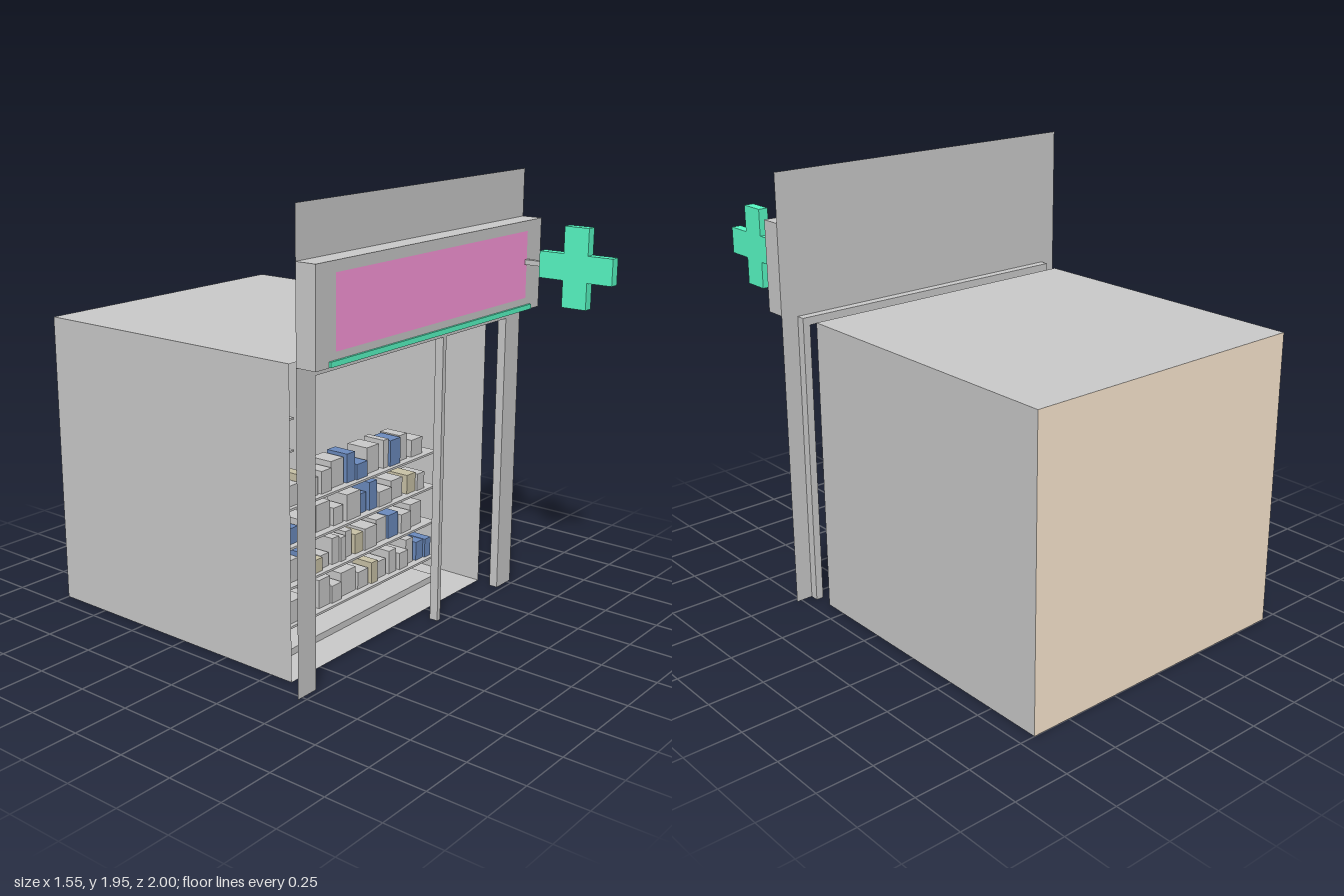
import * as THREE from 'three';

const mat = (color, side = THREE.FrontSide) => new THREE.MeshStandardMaterial({ color, side, flatShading: true });
const grey = mat(0xcccccc), blue = mat(0x6c8cc0), sand = mat(0xcbc4a8), green = mat(0x59fdc7);
const greyThin = mat(0xcccccc, THREE.DoubleSide);
const cream = mat(0xffecd4, THREE.DoubleSide);
const pink = mat(0xff99dd);

// Box given by its lower and upper limits on each axis
function box(parent, name, [x0, x1], [y0, y1], [z0, z1], material = grey) {
  const mesh = new THREE.Mesh(new THREE.BoxGeometry(x1 - x0, y1 - y0, z1 - z0), material);
  mesh.position.set((x0 + x1) / 2, (y0 + y1) / 2, (z0 + z1) / 2);
  mesh.name = name;
  parent.add(mesh);
  return mesh;
}

function panel(parent, name, w, h, position, rotation, material) {
  const mesh = new THREE.Mesh(new THREE.PlaneGeometry(w, h), material);
  mesh.position.set(...position);
  mesh.rotation.set(...rotation);
  mesh.name = name;
  parent.add(mesh);
}

// Goods on each shelf, in hundredths: left edge, width, height, material
const G = grey, B = blue, S = sand;
const row1 = [[-48, 7, 9, G], [-41, 5, 12, S], [-36, 8, 8, G], [-27, 7, 10, G], [-19, 9, 12, G], [-9, 6, 13, B],
  [-3, 8, 7, B], [6, 9, 12, G], [17, 4, 13, G], [21, 8, 12, B], [30, 6, 12, G], [38, 9, 8, G]];
const row2 = [[-48, 7, 7, B], [-40, 9, 9, G], [-29, 10, 12, G], [-18, 7, 8, G], [-10, 10, 12, G], [0, 6, 9, B],
  [7, 6, 13, B], [13, 10, 7, G], [24, 9, 9, G], [35, 7, 9, S], [42, 6, 8, G]];
const row3 = [[-48, 8, 10, G], [-40, 7, 12, B], [-32, 6, 6, S], [-26, 6, 6, G], [-19, 5, 12, G], [-14, 4, 11, G],
  [-9, 5, 12, G], [-3, 6, 9, S], [3, 9, 10, G], [13, 8, 11, G], [21, 8, 11, B], [30, 8, 9, G], [39, 9, 11, G]];
const row4 = [[-48, 10, 10, G], [-37, 8, 7, G], [-28, 8, 13, G], [-20, 7, 8, G], [-12, 11, 11, G], [-1, 8, 8, G],
  [8, 5, 10, S], [14, 7, 8, G], [22, 6, 11, G], [29, 7, 8, G], [36, 6, 12, G], [43, 6, 9, B], [49, 5, 9, B]];
const rows = [row1, row2, row3, row4];
const shelfTops = [0.65, 0.48, 0.305, 0.13];

// Shelf rack with base, four shelves and a row of goods on each
function rack(name, zBack, shift) {
  const group = new THREE.Group();
  group.name = name;
  const xs = [-0.545, 0.54], zFront = zBack + 0.19;
  box(group, 'rackBase', xs, [0, 0.03], [zBack, zFront]);
  shelfTops.forEach((y, i) => {
    box(group, 'shelf', xs, [y - 0.01, y], [zBack, zFront]);
    rows[(i + shift) % 4].forEach(([x, w, h, material], k) => {
      const front = zFront - 0.02 - 0.008 * ((k * 5 + i) % 3);
      box(group, 'goodsBox', [x / 100, (x + w - 0.5) / 100], [y, y + h / 100], [front - 0.11, front], material);
    });
  });
  return group;
}

export function createModel() {
  const model = new THREE.Group();

  // Room, open at the front
  const room = new THREE.Group();
  room.name = 'room';
  const W = 1.36, H = 1.32, D = 1.36, zMid = -0.32, q = Math.PI / 2;
  panel(room, 'backWall', W, H, [0, H / 2, -1], [0, 0, 0], cream);
  for (const s of [-1, 1]) panel(room, 'sideWall', D, H, [s * W / 2, H / 2, zMid], [0, s * q, 0], greyThin);
  panel(room, 'floor', W, D, [0, 0, zMid], [-q, 0, 0], greyThin);
  panel(room, 'ceiling', W, D, [0, H, zMid], [-q, 0, 0], greyThin);
  model.add(room);

  // Thin facade around the shop opening
  const outline = [[-0.775, 0], [-0.665, 0], [-0.665, 1.29], [0.663, 1.29], [0.663, 0], [0.775, 0], [0.775, 1.945], [-0.775, 1.945]];
  const shape = new THREE.Shape(outline.map(([x, y]) => new THREE.Vector2(x, y)));
  const facade = new THREE.Mesh(new THREE.ShapeGeometry(shape), greyThin);
  facade.position.z = 0.476;
  facade.name = 'facade';
  model.add(facade);

  // Window frame behind the facade
  const frame = new THREE.Group();
  frame.name = 'windowFrame';
  const fz = [0.435, 0.475];
  box(frame, 'leftJamb', [0.663, 0.697], [0, 1.29], fz);
  box(frame, 'rightJamb', [-0.7, -0.665], [0, 1.29], fz);
  box(frame, 'frameHead', [-0.7, 0.697], [1.29, 1.325], fz);
  box(frame, 'mullion', [0.175, 0.198], [0, 1.29], fz);
  model.add(frame);

  // Sign box with coloured panel and light strip
  box(model, 'signBox', [-0.775, 0.775], [1.34, 1.735], [0.476, 0.57]);
  panel(model, 'signPanel', 1.32, 0.295, [0, 1.543, 0.572], [0, 0, 0], pink);
  box(model, 'lightStrip', [-0.7, 0.697], [1.342, 1.364], [0.57, 0.58], green);

  // Projecting cross on its bracket
  box(model, 'crossBracket', [0.645, 0.67], [1.545, 1.567], [0.57, 0.65]);
  const a = 0.175, b = 0.058;
  const corners = [[b, a], [b, b], [a, b], [a, -b], [b, -b], [b, -a], [-b, -a], [-b, -b], [-a, -b], [-a, b], [-b, b], [-b, a]];
  const crossShape = new THREE.Shape(corners.map(([x, y]) => new THREE.Vector2(x, y)));
  const cross = new THREE.Mesh(new THREE.ExtrudeGeometry(crossShape, { depth: 0.044, bevelEnabled: false }), green);
  cross.rotation.y = q;
  cross.position.set(0.636, 1.557, 0.825);
  cross.name = 'crossSign';
  model.add(cross);

  // Two racks of goods
  model.add(rack('frontRack', 0.01, 0), rack('rearRack', -0.86, 1));
  return model;
}
